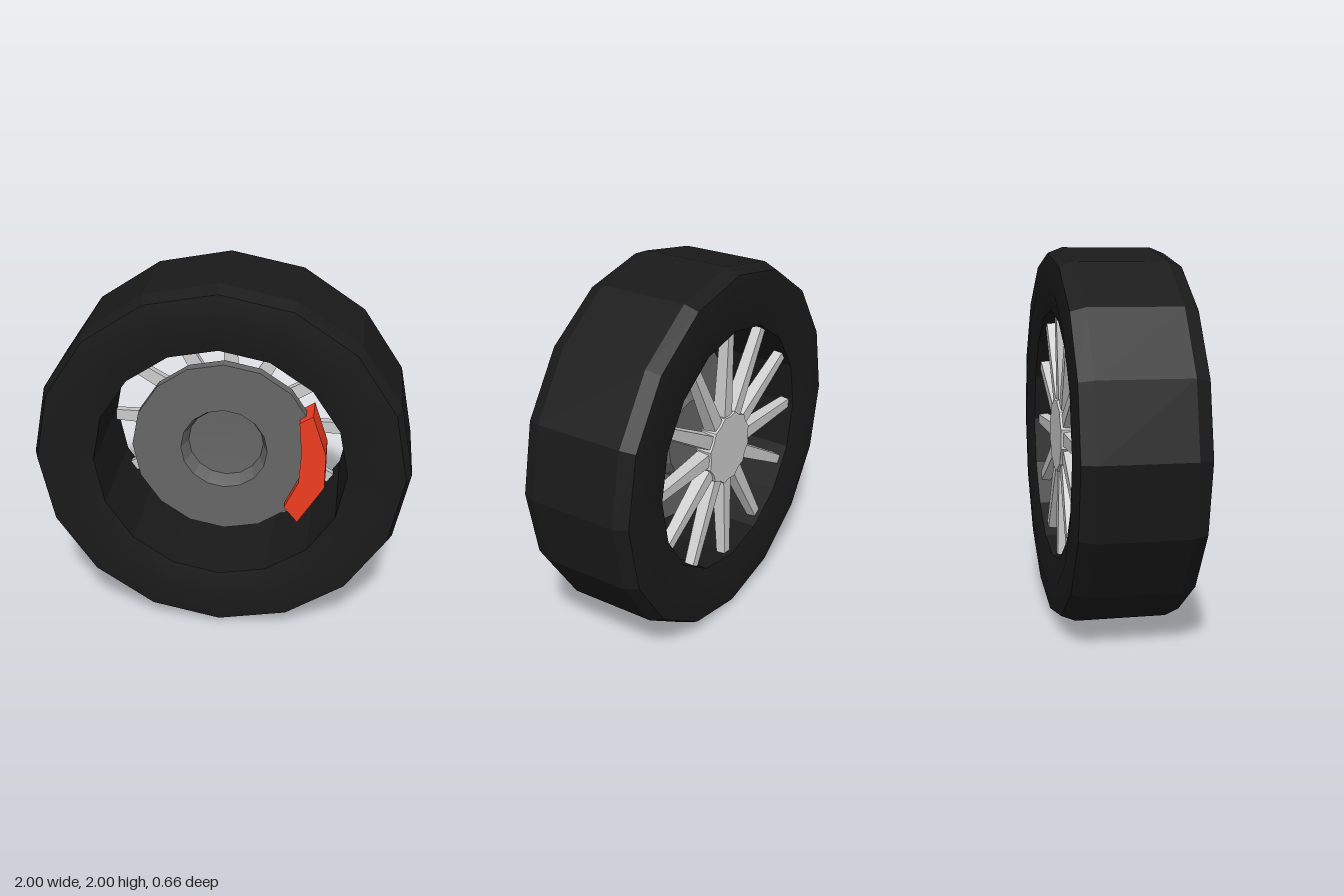
import * as THREE from 'three';
import { toCreasedNormals } from 'three/addons/utils/BufferGeometryUtils.js';

const SIDES = 16;
const mat = (color) => new THREE.MeshStandardMaterial({ color });

function mesh(name, geometry, material) {
  const m = new THREE.Mesh(toCreasedNormals(geometry, 0.35), material);
  m.name = name;
  return m;
}

// Turned part around the z axis from [radius, z] points
function turned(points) {
  const profile = points.map(([r, z]) => new THREE.Vector2(r, z));
  return new THREE.LatheGeometry(profile, SIDES).rotateX(Math.PI / 2);
}

function extruded(points, z0, z1) {
  const shape = new THREE.Shape(points.map(([x, y]) => new THREE.Vector2(x, y)));
  return new THREE.ExtrudeGeometry(shape, { depth: z1 - z0, bevelEnabled: false }).translate(0, 0, z0);
}

// Bar along +y, tapering outwards and narrower on its outer (-z) face
function spokeGeometry(inner, outer) {
  const g = new THREE.BoxGeometry(1, outer - inner, 1);
  const p = g.attributes.position;
  for (let i = 0; i < p.count; i++) {
    const tip = p.getY(i) > 0;
    const rear = p.getZ(i) < 0;
    const width = (tip ? 0.064 : 0.096) * (rear ? 0.8 : 1);
    const z = rear ? (tip ? -0.275 : -0.265) : (tip ? -0.225 : -0.195);
    p.setXYZ(i, p.getX(i) * width, p.getY(i) + (inner + outer) / 2, z);
  }
  return g;
}

export function createModel() {
  const wheel = new THREE.Group();
  wheel.name = 'wheel';
  const rubber = mat(0x1a1a1a);
  const iron = mat(0x666666);
  const red = mat(0xf03c20);
  const alloy = mat(0xcccccc);

  // Tyre: closed profile with bevelled shoulders
  const half = [[0.67, 0.3], [0.82, 0.33], [0.97, 0.315], [1, 0.24]];
  const tyreProfile = [
    ...half.map(([r, z]) => [r, -z]),
    ...half.slice().reverse(),
    [0.67, -0.3],
  ];
  wheel.add(mesh('tyre', turned(tyreProfile), rubber));

  // Brake disc with a recessed centre that stands out at the back
  wheel.add(mesh('brakeDisc', turned([
    [0, -0.03], [0.21, -0.03], [0.24, 0.04], [0.5, 0.04], [0.5, 0.1],
    [0.235, 0.1], [0.22, 0.07], [0.205, 0.01], [0, 0],
  ]), iron));

  // Caliper gripping the disc edge
  wheel.add(mesh('brakeCaliper', extruded([
    [0.335, -0.31], [0.41, -0.4], [0.55, -0.17], [0.55, 0.03],
    [0.475, 0.255], [0.405, 0.21], [0.42, 0.03], [0.41, -0.15],
  ], -0.02, 0.15), red));

  // Spokes and scalloped hub
  const spokes = new THREE.Group();
  spokes.name = 'spokes';
  const bar = spokeGeometry(0.1, 0.66);
  for (let i = 0; i < 12; i++) {
    const spoke = mesh('spoke', bar, alloy);
    spoke.rotation.z = (i * Math.PI) / 6;
    spokes.add(spoke);
  }
  wheel.add(spokes);

  const rim = [];
  for (let i = 0; i < 24; i++) {
    const a = (i * Math.PI) / 12;
    const r = i % 2 ? 0.2 : 0.185;
    rim.push([r * Math.sin(-a), r * Math.cos(a)]);
  }
  wheel.add(mesh('hub', extruded(rim, -0.28, -0.19), alloy));

  wheel.position.y = 1;
  const model = new THREE.Group();
  model.name = 'wheelAssembly';
  model.add(wheel);
  return model;
}
